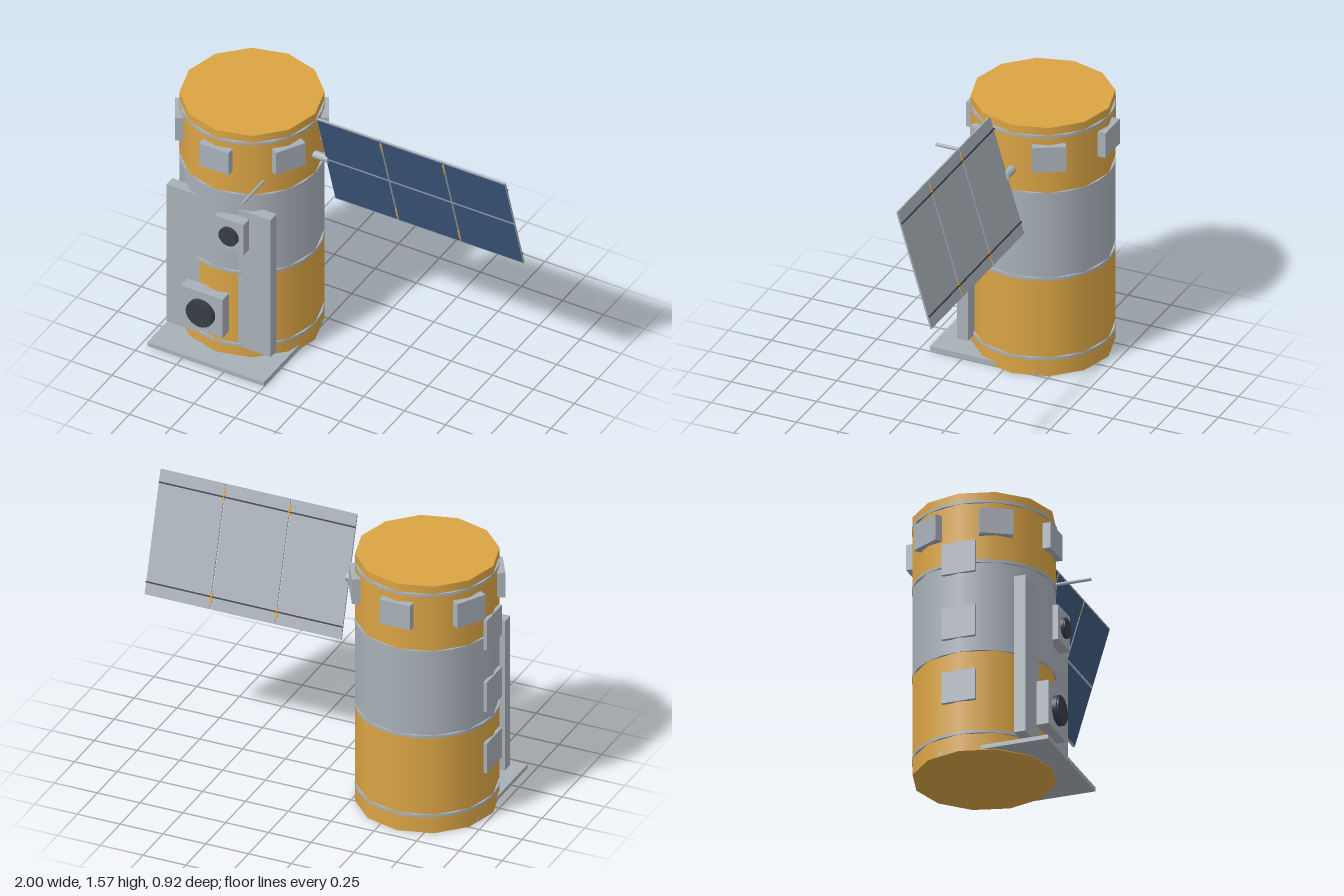
import * as THREE from 'three';

const material = (name, color) => {
  const m = new THREE.MeshStandardMaterial({ color });
  m.name = name;
  return m;
};

export function createModel() {
  const gold = material('gold foil', 0xdaa444);
  const grey = material('light grey metal', 0xa8b0b8);
  const blue = material('solar blue', 0x3d5a80);
  const dark = material('dark lens', 0x383d46);

  const add = (parent, name, geometry, mat, x = 0, y = 0, z = 0) => {
    const mesh = new THREE.Mesh(geometry, mat);
    mesh.name = name;
    mesh.position.set(x, y, z);
    parent.add(mesh);
    return mesh;
  };
  const box = (parent, name, mat, w, h, d, x, y, z) =>
    add(parent, name, new THREE.BoxGeometry(w, h, d), mat, x, y, z);

  const model = new THREE.Group();
  model.name = 'satellite';

  // Twelve-sided body, with the hull group on its own axis
  const R = 0.385;
  const hull = new THREE.Group();
  hull.name = 'hull';
  hull.position.set(-0.605, 0, -0.055);
  model.add(hull);
  for (const [name, y0, y1, mat] of [
    ['lowerBody', 0, 0.585, gold],
    ['middleBody', 0.585, 1.105, grey],
    ['upperBody', 1.105, 1.505, gold],
  ]) add(hull, name, new THREE.CylinderGeometry(R, R, y1 - y0, 12), mat, 0, (y0 + y1) / 2, 0);

  // Thin bands that show over the flats
  for (const y of [0.105, 0.587, 1.103, 1.45])
    add(hull, 'band', new THREE.CylinderGeometry(R + 0.001, R + 0.001, 0.016, 24), grey, 0, y, 0);

  // Six equipment boxes around the top
  for (let i = 0; i < 6; i++) {
    const a = (i * Math.PI) / 3;
    const b = box(hull, 'equipmentBox', grey, 0.18, 0.148, 0.045,
      Math.sin(a) * 0.386, 1.326, Math.cos(a) * 0.386);
    b.rotation.y = a;
  }

  // Flat side panels
  for (const y of [0.38, 0.753, 1.13])
    box(hull, 'sidePanel', grey, 0.02, 0.18, 0.19, -0.382, y, 0);

  // Base plate and front slab
  box(model, 'basePlate', grey, 0.71, 0.024, 0.62, -0.605, 0.017, 0.13);
  box(model, 'frontSlab', grey, 0.635, 0.912, 0.063, -0.607, 0.546, 0.267);

  // Two instruments with round lenses
  const lens = (name, r, depth, x, y, z) => {
    const g = new THREE.CylinderGeometry(r, r, depth, 24).rotateX(Math.PI / 2);
    add(model, name, g, dark, x, y, z + depth / 2);
  };
  box(model, 'largeInstrument', grey, 0.256, 0.254, 0.07, -0.663, 0.306, 0.345);
  lens('largeLensRim', 0.083, 0.026, -0.664, 0.304, 0.38);
  lens('largeLensFace', 0.074, 0.034, -0.664, 0.304, 0.38);
  box(model, 'smallInstrument', grey, 0.176, 0.202, 0.06, -0.507, 0.861, 0.33);
  lens('smallLensRim', 0.057, 0.018, -0.506, 0.859, 0.36);
  lens('smallLensFace', 0.05, 0.023, -0.506, 0.859, 0.36);

  // Antenna rod
  add(model, 'antenna', new THREE.CylinderGeometry(0.009, 0.009, 0.23, 10).rotateX(Math.PI / 2),
    grey, -0.37, 1.19, 0.345);

  // Boom to the solar wing
  add(model, 'boom', new THREE.CylinderGeometry(0.023, 0.023, 0.13, 12).rotateZ(Math.PI / 2),
    grey, -0.2, 1.235, -0.055);

  // Tilted solar wing of three panels
  const wing = new THREE.Group();
  wing.name = 'solarWing';
  wing.position.set(0, 1.236, -0.055);
  wing.rotation.x = 0.294;
  model.add(wing);
  const H = 0.69, T = 0.01;
  const edges = [-0.15, 0.235, 0.617, 0.998];
  for (let i = 0; i < 3; i++) {
    const x0 = edges[i] + (i > 0 ? 0.003 : 0);
    const x1 = edges[i + 1] - (i < 2 ? 0.003 : 0);
    const w = x1 - x0, x = (x0 + x1) / 2;
    box(wing, 'wingPanel', grey, w, H, T, x, 0, 0);
    for (const s of [-1, 1]) {
      box(wing, 'solarCells', blue, w - 0.006, 0.328, 0.003, x, s * 0.172, T / 2 + 0.0005);
      box(wing, 'backRail', dark, w, 0.006, 0.009, x, s * 0.275, -T / 2 - 0.0035);
    }
  }

  // Hinges between the panels
  for (const x of [edges[1], edges[2]])
    for (const s of [-1, 1])
      box(wing, 'hinge', gold, 0.013, 0.06, 0.017, x, s * 0.283, -0.001);

  return model;
}
